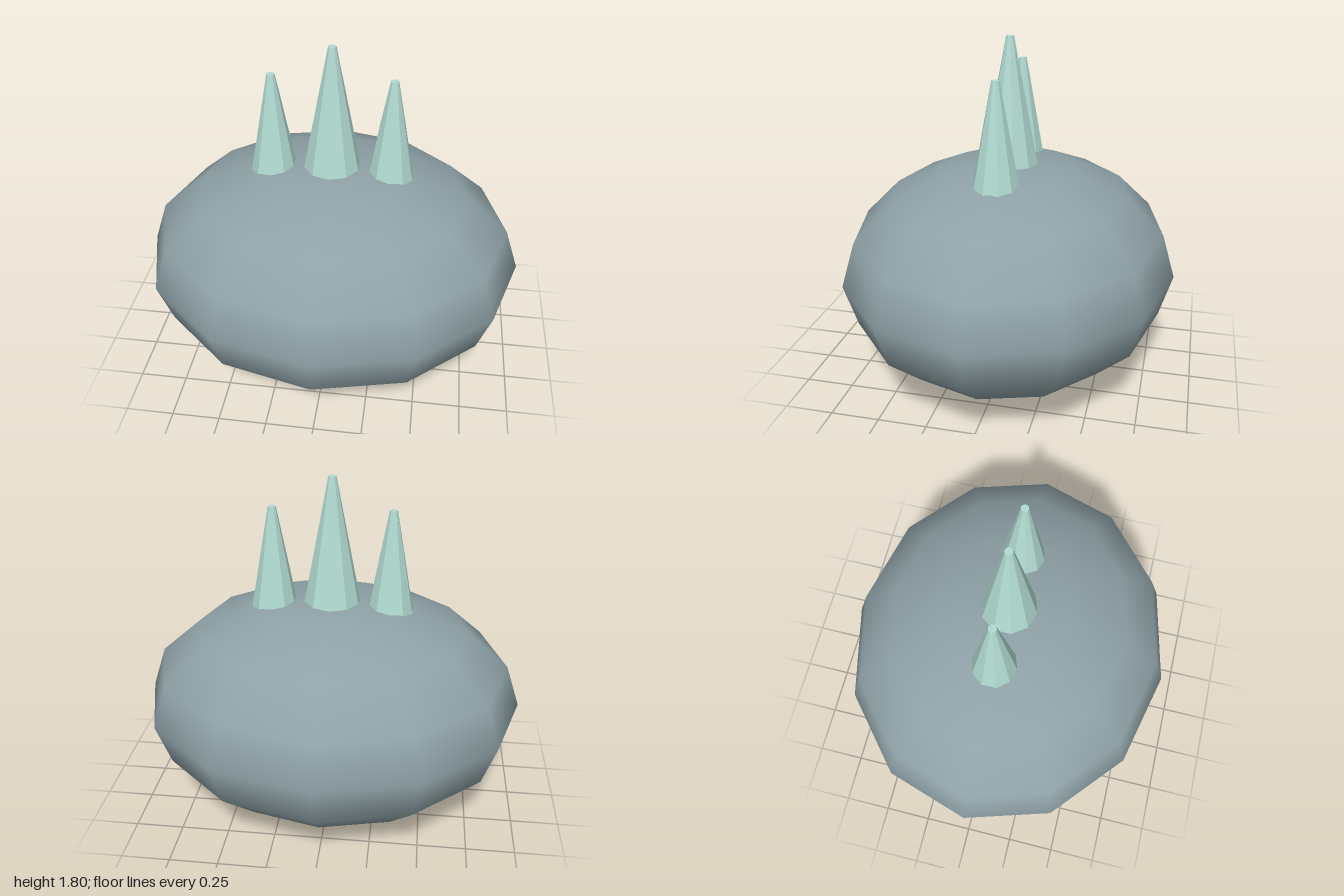
import * as THREE from 'three';

export function createModel() {
  const group = new THREE.Group();
  const bodyMaterial = new THREE.MeshStandardMaterial({ color: 0x8fa2a7 });
  const spikeMaterial = new THREE.MeshStandardMaterial({ color: 0xb2dcd3, flatShading: true });

  // Squashed low-poly body with smooth normals
  const bodyGeometry = new THREE.SphereGeometry(1, 12, 8);
  bodyGeometry.scale(1, 0.585, 0.875);
  const body = new THREE.Mesh(bodyGeometry, bodyMaterial);
  body.name = 'body';
  body.position.y = 0.585;
  group.add(body);

  // Tapered spike, its base sunk into the body
  function addSpike(name, x, baseRadius, top) {
    const base = 1.06;
    const geometry = new THREE.CylinderGeometry(0.02, baseRadius, top - base, 10);
    const spike = new THREE.Mesh(geometry, spikeMaterial);
    spike.name = name;
    spike.position.set(x, (top + base) / 2, 0);
    group.add(spike);
  }
  addSpike('centreSpike', 0, 0.163, 1.8);
  addSpike('leftSpike', 0.3, 0.128, 1.64);
  addSpike('rightSpike', -0.3, 0.128, 1.64);

  return group;
}
